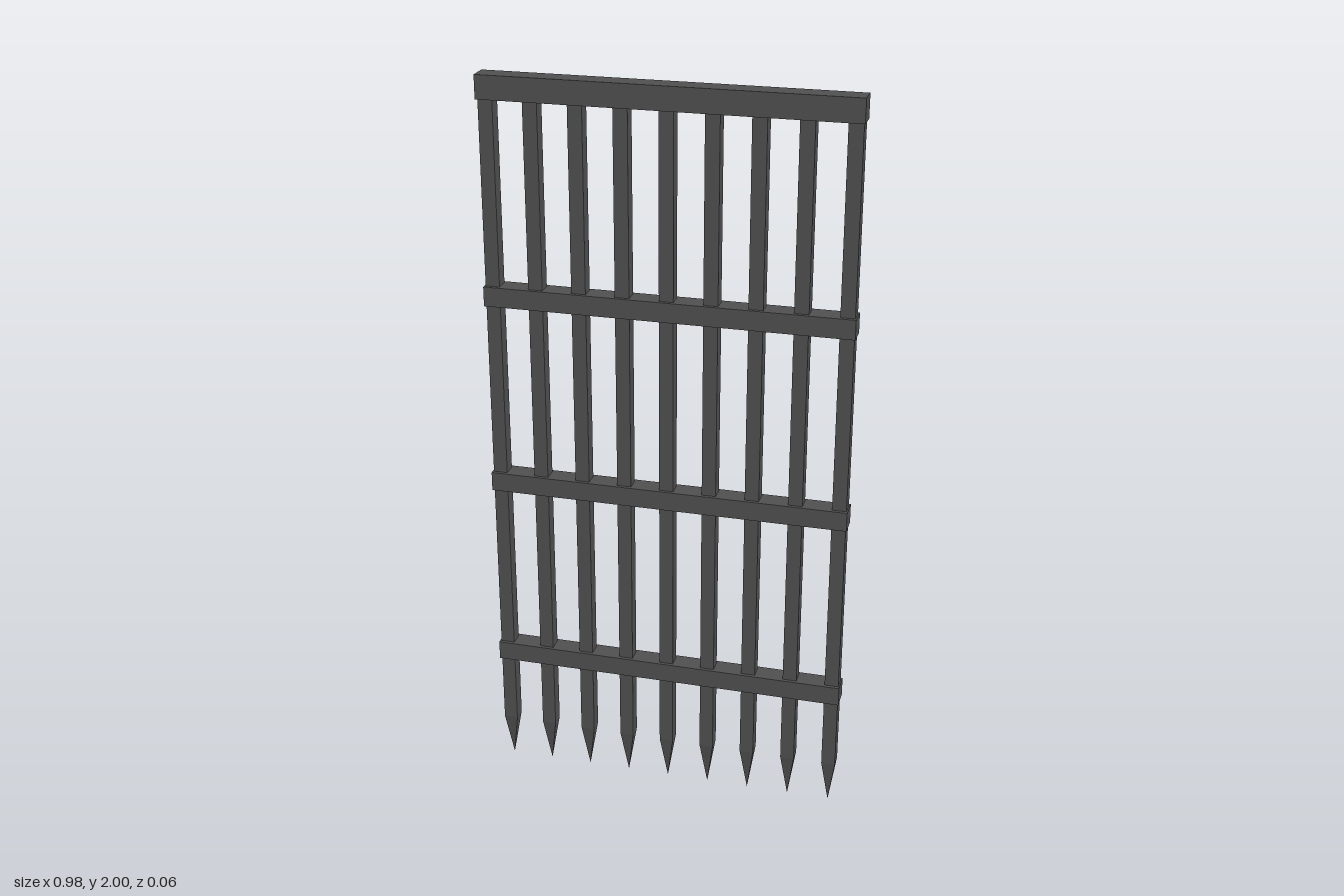
import * as THREE from 'three';

export function createModel() {
  const group = new THREE.Group();
  const iron = new THREE.MeshStandardMaterial({ color: 0x505050 });

  const add = (name, geometry, x, y) => {
    const mesh = new THREE.Mesh(geometry, iron);
    mesh.name = name;
    mesh.position.set(x, y, 0);
    group.add(mesh);
  };

  // Square upright bars ending in four-sided spikes
  const barWidth = 0.038, spikeHeight = 0.13, barTop = 1.97;
  const barHeight = barTop - spikeHeight;
  const bar = new THREE.BoxGeometry(barWidth, barHeight, barWidth);
  const spike = new THREE.ConeGeometry(barWidth * Math.SQRT1_2, spikeHeight, 4, 1, true)
    .rotateY(Math.PI / 4)
    .rotateX(Math.PI)
    .toNonIndexed();
  spike.computeVertexNormals();
  for (let i = -4; i <= 4; i++) {
    const x = i * 0.1165;
    add('bar', bar, x, spikeHeight + barHeight / 2);
    add('spike', spike, x, spikeHeight / 2);
  }

  // Thicker top rail and three evenly spaced cross rails
  const railLength = 0.977, railDepth = 0.057;
  add('topRail', new THREE.BoxGeometry(railLength, 0.062, railDepth), 0, 1.969);
  const rail = new THREE.BoxGeometry(railLength, 0.053, railDepth);
  for (const y of [0.357, 0.889, 1.421]) add('crossRail', rail, 0, y);

  return group;
}
